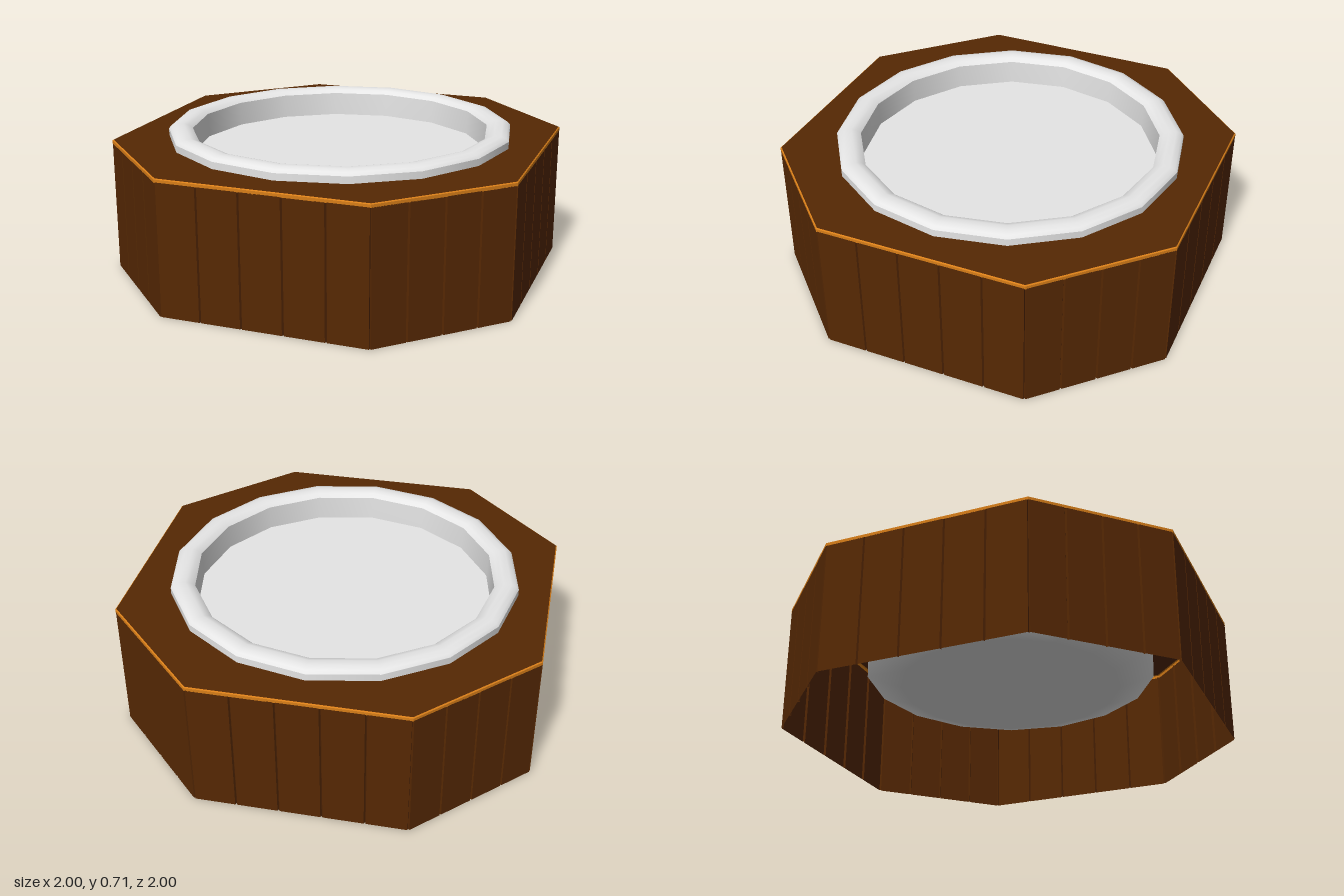
import * as THREE from 'three';

const SIDES = 16;
// Octagon corners as [x, z], in order round the tub
const CORNERS = [[-0.5, 1], [0.5, 1], [1, 0.5], [1, -0.5], [0.5, -1], [-0.5, -1], [-1, -0.5], [-1, 0.5]];

function octagon(s, holeRadius) {
  const shape = new THREE.Shape(CORNERS.map(([x, z]) => new THREE.Vector2(x * s, -z * s)));
  const hole = [];
  for (let i = 0; i < SIDES; i++) {
    const a = (i / SIDES) * Math.PI * 2;
    hole.push(new THREE.Vector2(Math.cos(a) * holeRadius, Math.sin(a) * holeRadius));
  }
  shape.holes.push(new THREE.Path(hole));
  return shape;
}

// Strip of flat quads between two closed loops of [x, z] points
function band(lower, y0, upper, y1) {
  const pos = [];
  lower.forEach((p, i) => {
    const j = (i + 1) % lower.length;
    const a = [p[0], y0, p[1]], b = [lower[j][0], y0, lower[j][1]];
    const c = [upper[j][0], y1, upper[j][1]], d = [upper[i][0], y1, upper[i][1]];
    pos.push(...a, ...b, ...c, ...a, ...c, ...d);
  });
  const g = new THREE.BufferGeometry();
  g.setAttribute('position', new THREE.Float32BufferAttribute(pos, 3));
  g.computeVertexNormals();
  return g;
}

// Outline of the planked wall: a small inward V groove at every plank joint
function plankOutline() {
  const pts = [], half = 0.005, depth = 0.01;
  CORNERS.forEach(([x, z], i) => {
    const [x2, z2] = CORNERS[(i + 1) % 8];
    const len = Math.hypot(x2 - x, z2 - z);
    const dx = (x2 - x) / len, dz = (z2 - z) / len;
    const planks = i % 2 === 0 ? 5 : 4;
    const at = (t, d) => pts.push([x + dx * t + dz * d, z + dz * t - dx * d]);
    pts.push([x * 0.99, z * 0.99]);
    at(half, 0);
    for (let k = 1; k < planks; k++) {
      const t = (len * k) / planks;
      at(t - half, 0);
      at(t, depth);
      at(t + half, 0);
    }
    at(len - half, 0);
  });
  return pts;
}

function lathe(points) {
  return new THREE.LatheGeometry(points.map(([r, y]) => new THREE.Vector2(r, y)), SIDES);
}

export function createModel() {
  const group = new THREE.Group();
  const material = (name, color) => {
    const m = new THREE.MeshStandardMaterial({ color, side: THREE.DoubleSide });
    m.name = name;
    return m;
  };
  const wood = material('brown wood', 0x562803);
  const trim = material('amber trim', 0xd87e18);
  const shell = material('light grey shell', 0xe6e6e6);

  const add = (name, geometry, mat) => {
    const mesh = new THREE.Mesh(geometry, mat);
    mesh.name = name;
    group.add(mesh);
  };

  // Planked side wall, open underneath
  const outline = plankOutline();
  add('plankWall', band(outline, 0, outline, 0.637), wood);

  // Thin bevelled trim round the top edge
  const inset = CORNERS.map(([x, z]) => [x * 0.995, z * 0.995]);
  add('edgeTrim', band(CORNERS, 0.635, CORNERS, 0.65), trim);
  add('edgeTrimBevel', band(CORNERS, 0.65, inset, 0.654), trim);

  // Deck with a round opening
  const deck = new THREE.ShapeGeometry(octagon(0.995, 0.73));
  deck.rotateX(-Math.PI / 2).translate(0, 0.654, 0);
  add('deck', deck, wood);

  // Rim standing on the deck: upright outer face and a softly rounded top
  add('rimOuterFace', lathe([[0.847, 0.645], [0.847, 0.688]]), shell);
  add('rimTop', lathe([[0.847, 0.688], [0.835, 0.702], [0.81, 0.711],
    [0.775, 0.711], [0.75, 0.704], [0.73, 0.688]]), shell);

  // Bowl hanging from the rim, with steep sides and a gently domed bottom
  add('bowl', lathe([[0, 0.2], [0.3, 0.213], [0.55, 0.25], [0.72, 0.31],
    [0.725, 0.57], [0.73, 0.688]]), shell);

  // Flat surface inside the bowl
  const floor = new THREE.CircleGeometry(0.724, SIDES);
  floor.rotateX(-Math.PI / 2).translate(0, 0.57, 0);
  add('basinFloor', floor, shell);

  return group;
}
